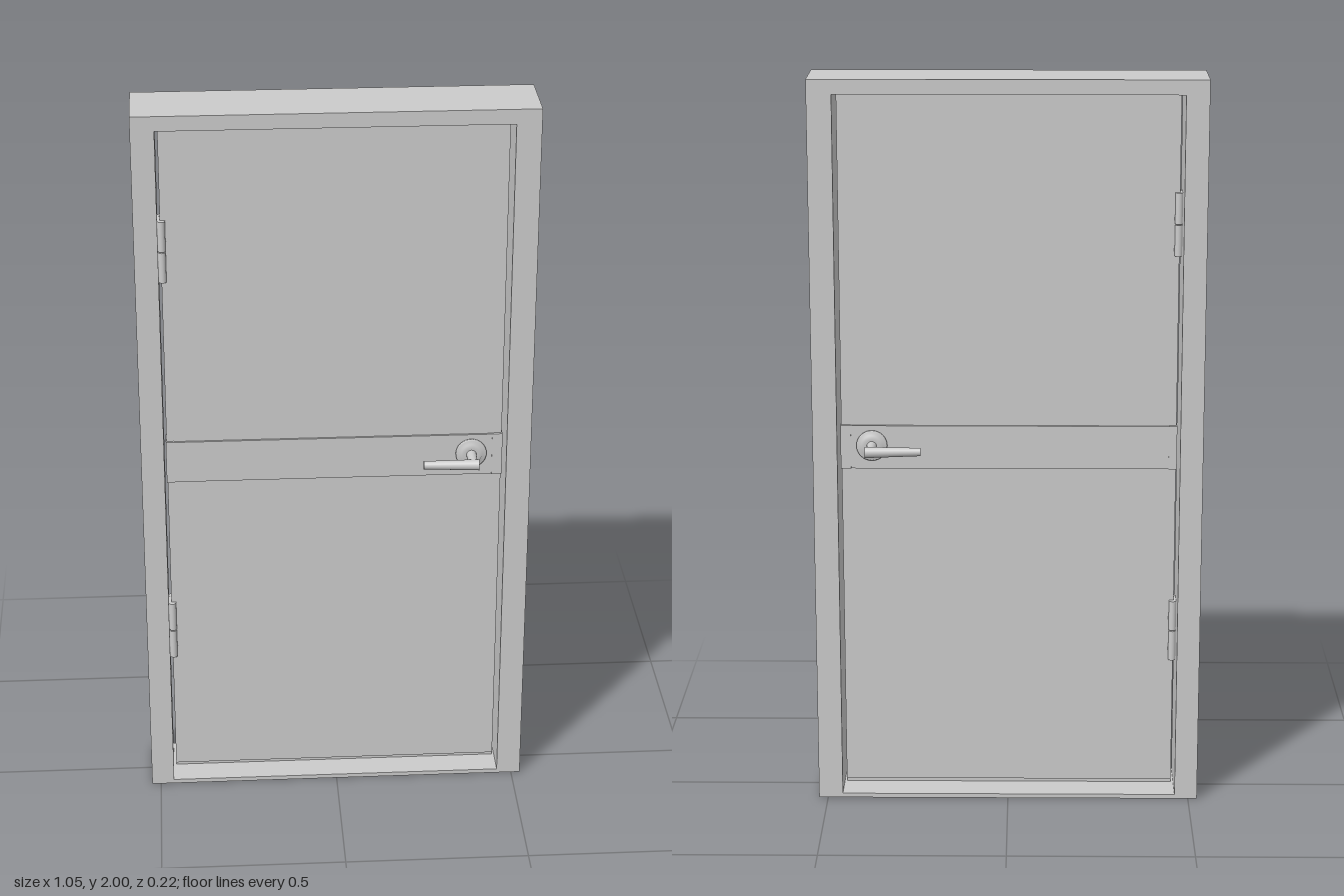
import * as THREE from 'three';

const grey = new THREE.MeshStandardMaterial({ color: 0xcccccc });

function add(parent, name, geometry, x = 0, y = 0, z = 0) {
  const mesh = new THREE.Mesh(geometry, grey);
  mesh.name = name;
  mesh.position.set(x, y, z);
  parent.add(mesh);
  return mesh;
}

function box(parent, name, x0, x1, y0, y1, z0, z1) {
  return add(parent, name, new THREE.BoxGeometry(x1 - x0, y1 - y0, z1 - z0),
    (x0 + x1) / 2, (y0 + y1) / 2, (z0 + z1) / 2);
}

function rectangle(Type, x0, x1, y0, y1) {
  const r = new Type();
  r.moveTo(x0, y0);
  r.lineTo(x1, y0);
  r.lineTo(x1, y1);
  r.lineTo(x0, y1);
  r.closePath();
  return r;
}

const DOOR_FRONT = 0.015, DOOR_BACK = -0.021;

// Lever handle facing +z, origin on the door face at the spindle
function createHandle(name) {
  const handle = new THREE.Group();
  handle.name = name;
  const rose = [[0, 0], [0.042, 0], [0.042, 0.007], [0.039, 0.01], [0.03, 0.01],
    [0.028, 0.014], [0.018, 0.014], [0.0, 0.014]].map(p => new THREE.Vector2(...p));
  add(handle, 'rose', new THREE.LatheGeometry(rose, 32)).rotation.x = Math.PI / 2;
  add(handle, 'neck', new THREE.CylinderGeometry(0.012, 0.014, 0.066, 20), 0, 0, 0.042)
    .rotation.x = Math.PI / 2;
  // Tapered lever, leaning slightly towards the door at its tip
  const start = new THREE.Vector3(0.015, 0, 0.075), end = new THREE.Vector3(-0.135, 0, 0.069);
  const lever = add(handle, 'lever',
    new THREE.CylinderGeometry(0.011, 0.015, start.distanceTo(end), 20));
  lever.position.copy(start).add(end).multiplyScalar(0.5);
  lever.quaternion.setFromUnitVectors(new THREE.Vector3(0, 1, 0), end.clone().sub(start).normalize());
  return handle;
}

export function createModel() {
  const model = new THREE.Group();
  model.name = 'door';

  // Frame with sill
  const outline = rectangle(THREE.Shape, -0.525, 0.525, 0, 2);
  outline.holes.push(rectangle(THREE.Path, -0.463, 0.459, 0.012, 1.96));
  add(model, 'frame', new THREE.ExtrudeGeometry(outline, { depth: 0.19, bevelEnabled: false }),
    0, 0, -0.105);

  // Door leaf, with a narrow gap all round
  box(model, 'doorLeaf', -0.456, 0.453, 0.024, 1.956, DOOR_BACK, DOOR_FRONT);
  box(model, 'bottomSeal', -0.456, 0.453, 0.012, 0.024, -0.012, 0.006);

  // Raised band around the leaf at handle height, with end plates
  box(model, 'band', -0.457, 0.454, 0.93, 1.05, DOOR_BACK - 0.006, DOOR_FRONT + 0.006);
  for (const [x0, x1] of [[-0.458, -0.436], [0.427, 0.455]]) {
    box(model, 'bandEndPlate', x0, x1, 0.929, 1.051, DOOR_BACK - 0.007, DOOR_FRONT + 0.007);
  }

  // Hinges: leaf plate and knuckles on both faces
  for (const y of [0.467, 1.605]) {
    const hinge = new THREE.Group();
    hinge.name = 'hinge';
    box(hinge, 'plate', -0.463, -0.442, y - 0.085, y + 0.085, DOOR_BACK - 0.003, DOOR_FRONT + 0.003);
    for (const z of [DOOR_BACK - 0.004, DOOR_FRONT + 0.004]) {
      for (const dy of [-0.0435, 0.0435]) {
        add(hinge, 'knuckle', new THREE.CylinderGeometry(0.01, 0.01, 0.084, 16), -0.453, y + dy, z);
      }
    }
    model.add(hinge);
  }

  // Handles on both faces; the back one is turned over so its lever also points inwards
  const front = createHandle('frontHandle');
  front.position.set(0.37, 0.995, DOOR_FRONT + 0.004);
  const back = createHandle('backHandle');
  back.position.set(0.37, 0.995, DOOR_BACK - 0.004);
  back.rotation.x = Math.PI;
  model.add(front, back);

  return model;
}
